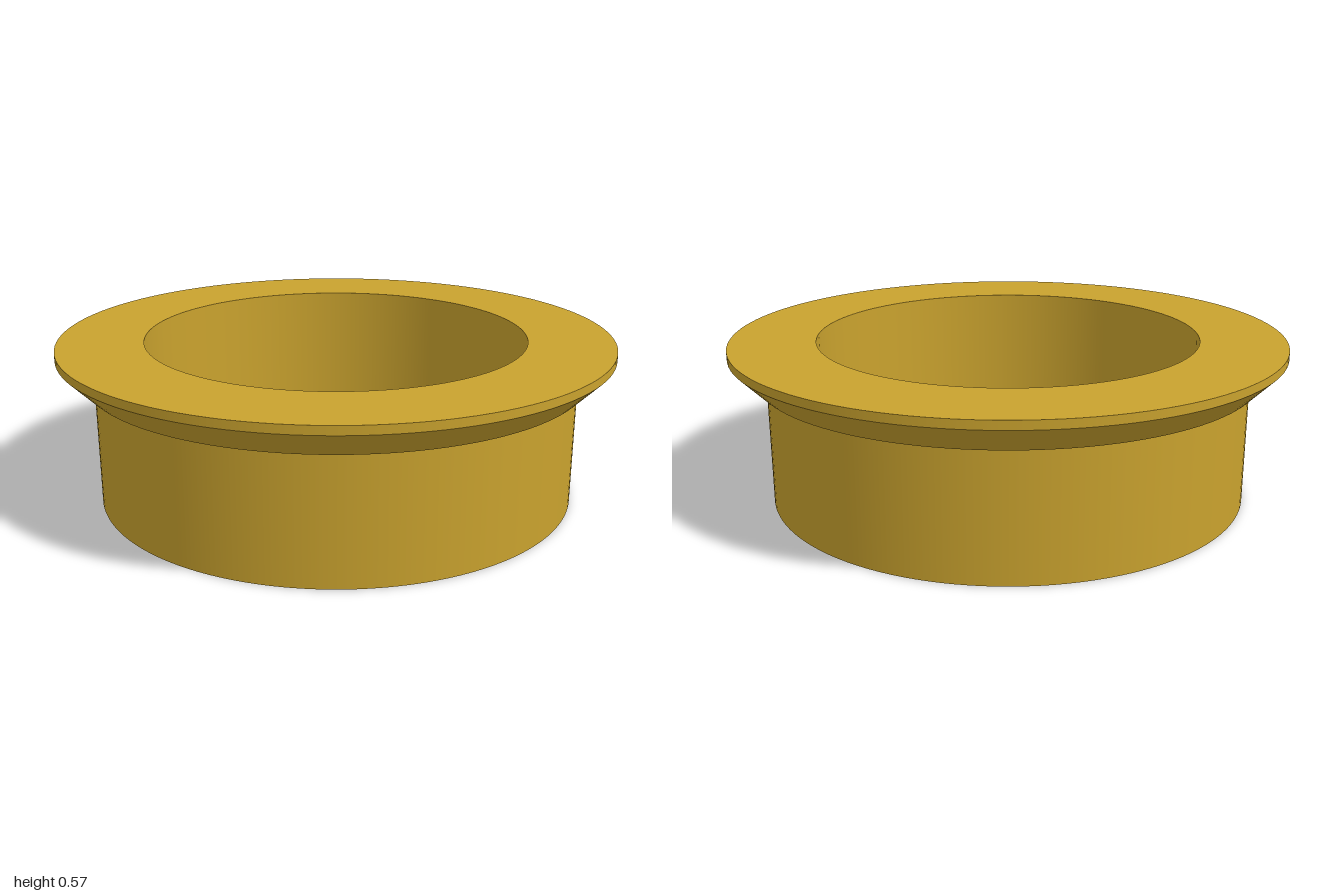
import * as THREE from 'three';

const SEGMENTS = 128;

// Closed ring profile [radius, height, name of the face that starts here],
// running up the outside and down the bore.
const PROFILE = [
  [0.873, 0, 'outerWall'],
  [0.873, 0.453, 'flangeShoulder'],
  [0.909, 0.453, 'flangeChamfer'],
  [1, 0.545, 'flangeRim'],
  [1, 0.575, 'topFace'],
  [0.692, 0.575, 'counterboreWall'],
  [0.692, 0.123, 'innerLedge'],
  [0.564, 0.123, 'throughHoleWall'],
  [0.564, 0, 'bottomFace'],
];

export function createModel() {
  const brass = new THREE.MeshStandardMaterial({ color: 0xc9a22e });
  brass.name = 'brass';

  const bushing = new THREE.Group();
  bushing.name = 'flangedBushing';

  // One lathe per face keeps the edges sharp and the walls smooth.
  PROFILE.forEach(([r, y, name], i) => {
    const [r2, y2] = PROFILE[(i + 1) % PROFILE.length];
    const points = [new THREE.Vector2(r, y), new THREE.Vector2(r2, y2)];
    const face = new THREE.Mesh(new THREE.LatheGeometry(points, SEGMENTS), brass);
    face.name = name;
    bushing.add(face);
  });

  return bushing;
}
